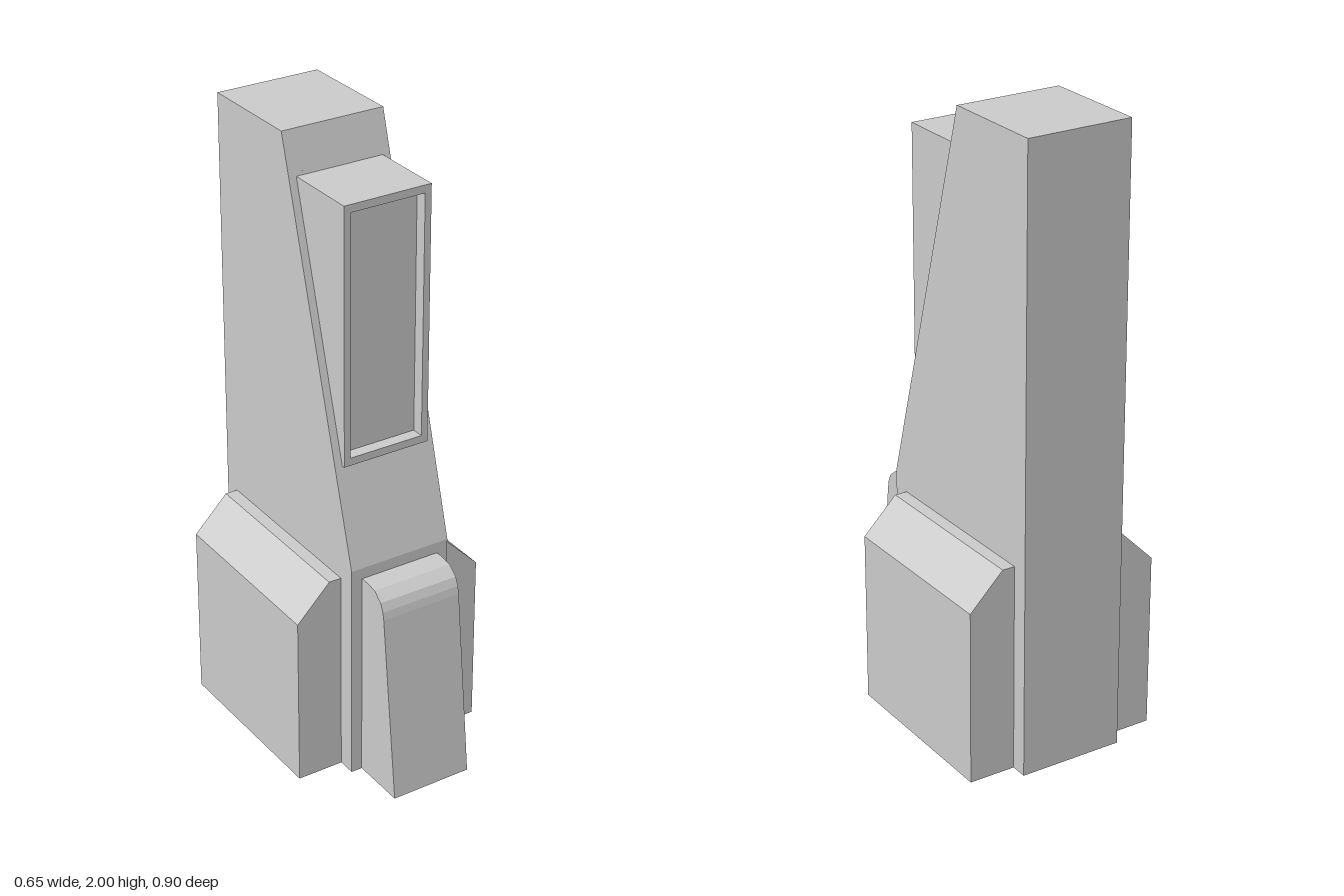
import * as THREE from 'three';

const material = new THREE.MeshStandardMaterial({ color: 0xcccccc, flatShading: true });
const shapeOf = (pts) => new THREE.Shape(pts.map(([a, b]) => new THREE.Vector2(a, b)));

function extrude(shape, depth) {
  return new THREE.ExtrudeGeometry(shape, { depth, bevelEnabled: false });
}

// Extrudes a (z, y) side profile across x, centred on the given x
function sideProfile(pts, width, x = 0) {
  return extrude(shapeOf(pts), width)
    .translate(0, 0, -width / 2)
    .rotateY(-Math.PI / 2)
    .translate(x, 0, 0);
}

export function createModel() {
  const model = new THREE.Group();
  const add = (name, geometry, parent = model) => {
    const mesh = new THREE.Mesh(geometry, material);
    mesh.name = name;
    parent.add(mesh);
    return mesh;
  };

  // Tapered tower: a core notched for the window recess, between two cheeks
  const tower = new THREE.Group();
  tower.name = 'tower';
  model.add(tower);
  const base = [[-0.452, 0], [0.268, 0], [0.268, 0.73]];
  const top = [[-0.096, 2], [-0.452, 2]];
  const notch = [[0.172, 1.065], [0.15, 1.065], [0.15, 1.142]];
  add('towerCore', sideProfile([...base, ...notch, ...top], 0.25), tower);
  for (const s of [-1, 1]) {
    add(s > 0 ? 'towerLeftCheek' : 'towerRightCheek',
      sideProfile([...base, ...top], 0.047, s * 0.1485), tower);
  }

  // Projecting window box with a recessed pane
  const frame = shapeOf([[-0.147, 1.04], [0.147, 1.04], [0.147, 1.87], [-0.147, 1.87]]);
  const hole = [[-0.125, 1.065], [-0.125, 1.845], [0.125, 1.845], [0.125, 1.065]];
  frame.holes.push(new THREE.Path(hole.map(([x, y]) => new THREE.Vector2(x, y))));
  add('windowFrame', extrude(frame, 0.26).translate(0, 0, -0.07));
  add('windowPane', new THREE.BoxGeometry(0.25, 0.78, 0.2).translate(0, 1.455, 0.05));

  // Sloping front buttress with a rounded shoulder
  add('frontButtress', sideProfile([
    [0.2, 0], [0.452, 0], [0.385, 0.61], [0.38, 0.635], [0.368, 0.662],
    [0.335, 0.688], [0.295, 0.694], [0.2, 0.694],
  ], 0.27));

  // Chamfered side blocks, their tops rising slightly towards the back
  for (const s of [-1, 1]) {
    const pts = [[0.1, 0], [0.325, 0], [0.325, 0.568], [0.213, 0.681], [0.1, 0.681]]
      .map(([x, y]) => [s * x, y]);
    const block = extrude(shapeOf(pts), 0.606).translate(0, 0, -0.397);
    const p = block.attributes.position;
    for (let i = 0; i < p.count; i++) {
      if (p.getY(i) > 0.1) p.setY(i, p.getY(i) - 0.012 * (p.getZ(i) + 0.094));
    }
    block.computeVertexNormals();
    add(s > 0 ? 'leftSideBlock' : 'rightSideBlock', block);
  }

  return model;
}
